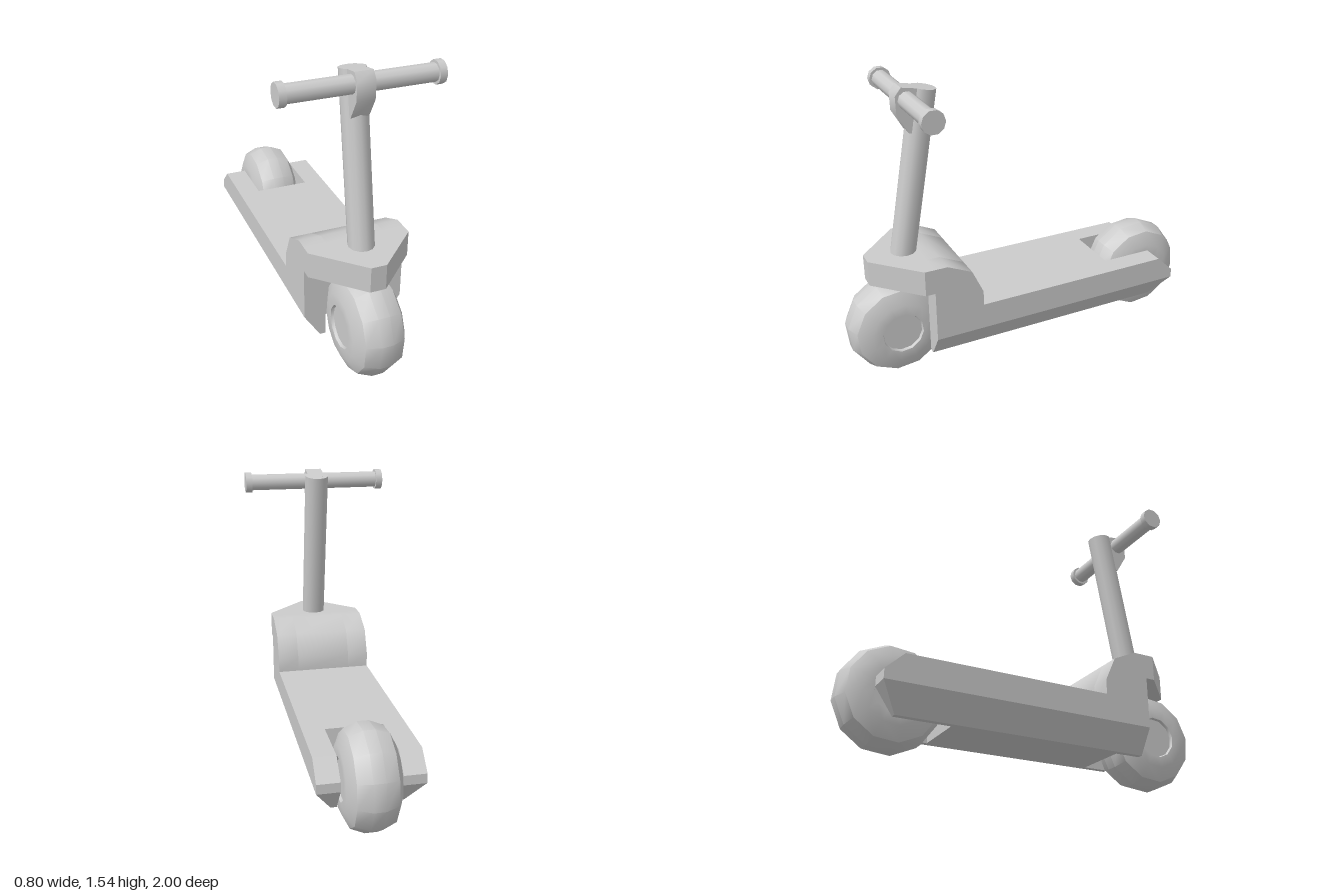
import * as THREE from 'three';
import { toCreasedNormals } from 'three/addons/utils/BufferGeometryUtils.js';
import { ConvexGeometry } from 'three/addons/geometries/ConvexGeometry.js';

const material = new THREE.MeshStandardMaterial({ color: 0xcccccc });

function part(name, geometry, parent) {
  const mesh = new THREE.Mesh(geometry, material);
  mesh.name = name;
  parent.add(mesh);
  return mesh;
}

const shapeOf = (pts) => new THREE.Shape(pts.map(([a, b]) => new THREE.Vector2(a, b)));

// Side profile of [z, y] points, extruded from x0 to x1
function sideExtrude(pts, x0, x1) {
  const g = new THREE.ExtrudeGeometry(shapeOf(pts), { depth: x1 - x0, bevelEnabled: false });
  g.rotateY(-Math.PI / 2).translate(x1, 0, 0);
  return toCreasedNormals(g, 0.8);
}

const hull = (pts) => new ConvexGeometry(pts.map((p) => new THREE.Vector3(...p)));

const W = 0.265, SLOT = 0.15, KEEL = 0.18;      // half widths
const BOTTOM = 0.13, CHINE = 0.26, TOP = 0.4;   // deck heights
const FRONT = 0.6, SLOT_FRONT = 0.46, SLOT_REAR = -0.47;

// Rounded wheel with shallow hub recesses, axle along x
function wheelGeometry() {
  const half = [[0, 0.12], [0.105, 0.12], [0.11, 0.135], [0.165, 0.135], [0.236, 0.1], [0.265, 0.03]];
  const profile = [
    ...half.map(([r, x]) => new THREE.Vector2(r, -x)),
    ...half.slice().reverse().map(([r, x]) => new THREE.Vector2(r, x)),
  ];
  const g = new THREE.LatheGeometry(profile, 12, 0.37);
  g.rotateZ(-Math.PI / 2);
  return toCreasedNormals(g, 0.62);
}

function buildDeck(root) {
  const deck = new THREE.Group();
  deck.name = 'deck';
  root.add(deck);

  // Middle of the deck, with chamfered lower edges
  const section = [[-KEEL, BOTTOM], [KEEL, BOTTOM], [W, CHINE], [W, TOP], [-W, TOP], [-W, CHINE]];
  const middle = new THREE.ExtrudeGeometry(shapeOf(section), { depth: SLOT_FRONT - SLOT_REAR, bevelEnabled: false });
  part('deckBody', middle.translate(0, 0, SLOT_REAR), deck);

  for (const s of [-1, 1]) {
    // Rear arms beside the back wheel, with wedge-shaped ends
    const rear = [];
    for (const [x, low] of [[SLOT, BOTTOM], [KEEL, BOTTOM], [W, CHINE]]) {
      rear.push([s * x, low, SLOT_REAR], [s * x, TOP, SLOT_REAR], [s * x, TOP, -0.755]);
      rear.push([s * x, 0.31, -0.85], [s * x, CHINE, -0.85]);
      if (low === BOTTOM) rear.push([s * x, BOTTOM, -0.76]);
    }
    part('rearArm', hull(rear), deck);

    // Front arms beside the front wheel
    const front = [];
    for (const z of [SLOT_FRONT, FRONT]) {
      for (const [x, y] of [[SLOT, BOTTOM], [KEEL, BOTTOM], [W, CHINE], [W, TOP], [SLOT, TOP]]) {
        front.push([s * x, y, z]);
      }
    }
    part('frontArm', hull(front), deck);
  }
}

function buildNeck(root) {
  const neck = new THREE.Group();
  neck.name = 'neck';
  root.add(neck);

  // Curved rear shroud: solid cheeks and a hollowed centre over the wheel
  const back = [[0.53, 0.67], [0.4, 0.61], [0.34, 0.48], [0.34, TOP]];
  const cheek = [...back, [FRONT, TOP], [FRONT, 0.67]];
  part('neckCheekRight', sideExtrude(cheek, -W, -SLOT), neck);
  part('neckCheekLeft', sideExtrude(cheek, SLOT, W), neck);
  part('neckCentre', sideExtrude([...back, [SLOT_FRONT, TOP], [FRONT, 0.535], [FRONT, 0.67]], -SLOT, SLOT), neck);

  // Front plate narrowing to a blunt nose
  const plan = [[-W, -FRONT], [-W, -0.65], [-0.04, -0.87], [0.04, -0.87], [W, -0.65], [W, -FRONT]];
  const plate = new THREE.ExtrudeGeometry(shapeOf(plan), { depth: 0.135, bevelEnabled: false });
  plate.rotateX(-Math.PI / 2).translate(0, 0.535, 0);
  part('frontPlate', plate, neck);
}

function buildSteering(root) {
  const steering = new THREE.Group();
  steering.name = 'steering';
  root.add(steering);

  // Leaning stem
  const foot = new THREE.Vector3(0, 0.5, 0.7), head = new THREE.Vector3(0, 1.518, 0.517);
  const stem = part('stem', new THREE.CylinderGeometry(0.066, 0.066, foot.distanceTo(head), 12), steering);
  stem.position.copy(foot).add(head).multiplyScalar(0.5);
  stem.rotation.x = Math.atan2(head.z - foot.z, head.y - foot.y);

  // Clamp wrapping the handlebar
  const clamp = [[0.5, 1.515], [0.54, 1.31], [0.612, 1.31], [0.67, 1.41], [0.672, 1.5], [0.64, 1.54]];
  part('handlebarClamp', sideExtrude(clamp, -0.046, 0.046), steering);

  // Handlebar and end caps
  const rod = (name, r, length, x) => {
    const g = new THREE.CylinderGeometry(r, r, length, 10).rotateZ(Math.PI / 2);
    part(name, g, steering).position.set(x, 1.475, 0.615);
  };
  rod('handlebar', 0.045, 0.76, 0);
  for (const s of [-1, 1]) rod('gripCap', 0.058, 0.036, s * 0.382);
}

export function createModel() {
  const root = new THREE.Group();
  root.name = 'scooter';
  buildDeck(root);
  buildNeck(root);
  buildSteering(root);
  const wheel = wheelGeometry();
  part('frontWheel', wheel, root).position.set(0, 0.264, 0.738);
  part('rearWheel', wheel, root).position.set(0, 0.264, -0.738);
  return root;
}
